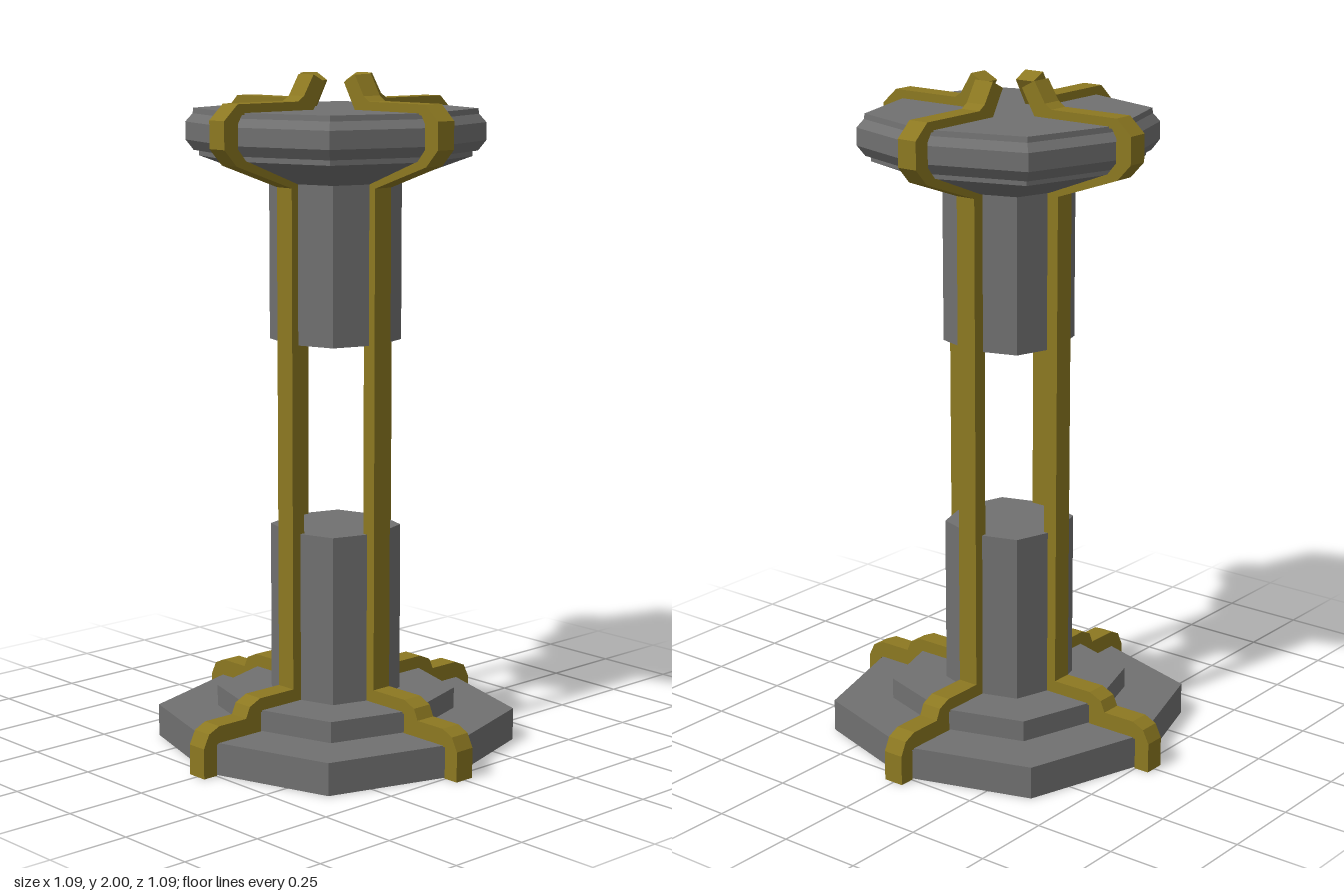
import * as THREE from 'three';

const stone = new THREE.MeshStandardMaterial({ color: 0x707070, flatShading: true, side: THREE.DoubleSide });
stone.name = 'grey stone';
const gold = new THREE.MeshStandardMaterial({ color: 0x8c7821, flatShading: true });
gold.name = 'dull gold';

// Eight-sided turned part whose diagonal corners stand a little further out
function octagonal(name, profile) {
  const geo = new THREE.LatheGeometry(profile.map(([r, y]) => new THREE.Vector2(r, y)), 8);
  const pos = geo.attributes.position;
  for (let i = 0; i < pos.count; i++) {
    const side = Math.floor(i / profile.length);
    const k = side % 2 ? 1.075 : 1;
    pos.setXYZ(i, pos.getX(i) * k, pos.getY(i), pos.getZ(i) * k);
  }
  geo.computeVertexNormals();
  const mesh = new THREE.Mesh(geo, stone);
  mesh.name = name;
  return mesh;
}

export function createModel() {
  const model = new THREE.Group();
  model.name = 'pedestal';

  // Hollow stepped base, open below, rising into the lower column
  model.add(octagonal('baseAndLowerColumn', [
    [0.5, 0], [0.5, 0.097], [0.333, 0.097], [0.333, 0.16],
    [0.18, 0.16], [0.18, 0.665], [0, 0.665],
  ]));

  // Upper column, hanging from the head
  const upper = octagonal('upperColumn', [[0, 1.225], [0.18, 1.225], [0.18, 1.7]]);
  upper.position.set(-0.005, 0, 0.005);
  model.add(upper);

  // Flared head with a stepped rim
  model.add(octagonal('head', [
    [0.18, 1.688], [0.37, 1.762], [0.37, 1.778], [0.385, 1.778], [0.407, 1.808],
    [0.407, 1.86], [0.387, 1.884], [0.385, 1.9], [0, 1.9],
  ]));

  // Side outline of a gold rib: outer edge going up, inner edge coming down
  const outline = [
    [0.545, 0], [0.545, 0.09], [0.525, 0.13], [0.487, 0.147], [0.385, 0.147],
    [0.37, 0.18], [0.33, 0.198], [0.2, 0.198], [0.2, 1.68], [0.405, 1.752],
    [0.45, 1.8], [0.45, 1.88], [0.4, 1.925], [0.175, 1.925], [0.152, 1.94],
    [0.115, 2], [0.07, 1.977], [0.115, 1.9], [0.385, 1.895], [0.4, 1.87],
    [0.4, 1.8], [0.37, 1.765], [0.155, 1.7], [0.155, 0.155], [0.328, 0.155],
    [0.328, 0.094], [0.497, 0.094], [0.497, 0],
  ];
  const shape = new THREE.Shape(outline.map(([x, y]) => new THREE.Vector2(x, y)));
  const ribGeo = new THREE.ExtrudeGeometry(shape, { depth: 0.064, bevelEnabled: false });
  ribGeo.translate(0, 0, -0.032);
  ['leftRib', 'backRib', 'rightRib', 'frontRib'].forEach((name, i) => {
    const rib = new THREE.Mesh(ribGeo, gold);
    rib.name = name;
    rib.rotation.y = i * Math.PI / 2;
    model.add(rib);
  });

  return model;
}
